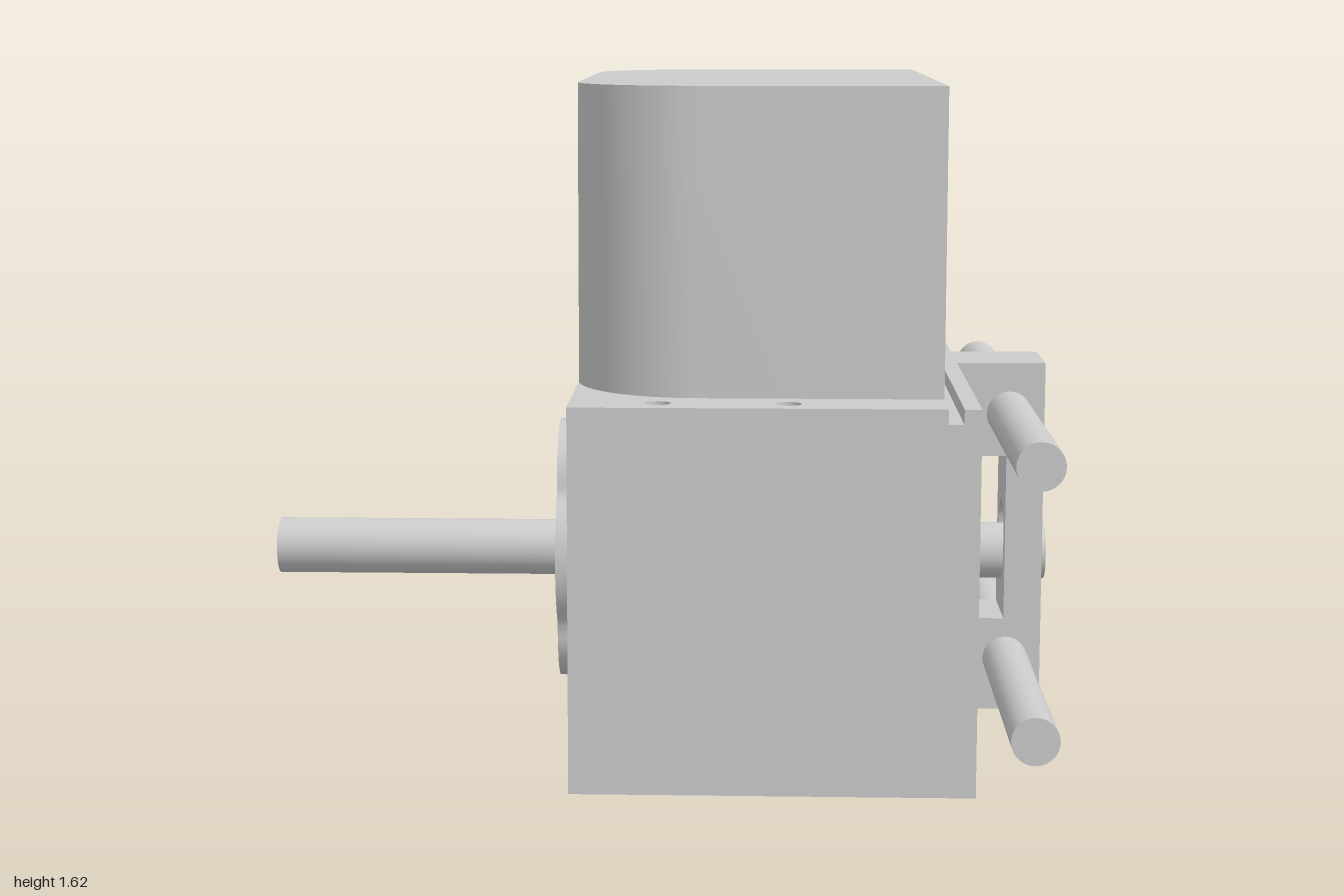
import * as THREE from 'three';
import { toCreasedNormals } from 'three/addons/utils/BufferGeometryUtils.js';

const material = new THREE.MeshStandardMaterial({ color: 0xcccccc });
const SHAFT_Y = 0.397, BORE_Y = 0.455, HALF = 0.905;

// Rectangle outline between two corners.
function rect(u0, v0, u1, v1) {
  return new THREE.Shape([[u0, v0], [u1, v0], [u1, v1], [u0, v1]].map(p => new THREE.Vector2(...p)));
}

// Closed outline around (u, v) whose radius is a function of the angle.
function polar(u, v, radiusAt, n = 36) {
  const points = [];
  for (let i = 0; i < n; i++) {
    const a = (i / n) * Math.PI * 2, r = radiusAt(a);
    points.push(new THREE.Vector2(u + r * Math.cos(a), v + r * Math.sin(a)));
  }
  return new THREE.Shape(points);
}
const circle = (u, v, r, n) => polar(u, v, () => r, n);

function extrude(shape, depth, holes = []) {
  shape.holes.push(...holes);
  return new THREE.ExtrudeGeometry(shape, { depth, bevelEnabled: false, curveSegments: 10 });
}

// Outline in (-z, y), extruded along x.
function alongX(shape, x0, x1, holes) {
  return extrude(shape, x1 - x0, holes).rotateY(Math.PI / 2).translate(x0, 0, 0);
}

// Outline in (x, -z), extruded along y.
function alongY(shape, y0, y1, holes) {
  return extrude(shape, y1 - y0, holes).rotateX(-Math.PI / 2).translate(0, y0, 0);
}

export function createModel() {
  const model = new THREE.Group();
  const add = (name, geometry, parent = model) => {
    const mesh = new THREE.Mesh(toCreasedNormals(geometry, 0.5), material);
    mesh.name = name;
    parent.add(mesh);
    return mesh;
  };

  // Gearbox body, in slices so each face carries its own holes
  const body = new THREE.Group();
  body.name = 'body';
  model.add(body);

  // Shaft-side cavity: large round opening with two wedge tabs
  const cavity = polar(0, BORE_Y, a => (Math.abs(Math.sin(a)) < Math.sin(0.28) ? 0.17 : 0.37), 72);
  const sideHoles = [];
  for (const z of [0.37, 0.69]) for (const y of [0.21, 0.68]) sideHoles.push(circle(-z, y, 0.032, 16));
  add('bodyShaftSide', alongX(rect(-HALF, 0, HALF, 0.84), -0.18, 0.12, [cavity, ...sideHoles]), body);
  add('bodyCore', alongX(rect(-HALF, 0, HALF, 0.84), 0.12, 0.685, [circle(0, BORE_Y, 0.17)]), body);

  // Top plate with screw holes
  const topHoles = [];
  for (const x of [0.025, 0.325]) for (const z of [-0.83, 0.83]) topHoles.push(circle(x, z, 0.03, 16));
  add('bodyTopPlate', alongY(rect(-0.18, -HALF, 0.685, HALF), 0.84, 0.905, topHoles), body);

  // Groove floor and outer lip on the rod side
  const faceHoles = () => [
    circle(0, BORE_Y, 0.17),
    ...[[-0.85, 0.06], [0.85, 0.06], [-0.85, 0.835], [0.85, 0.835], [0.185, 0.835]]
      .map(([u, y]) => circle(u, y, 0.031, 16)),
  ];
  add('bodyGroove', alongX(rect(-HALF, 0, HALF, 0.87), 0.685, 0.72, faceHoles()), body);
  add('bodyRodSide', alongX(rect(-HALF, 0, HALF, 0.905), 0.72, 0.76, faceHoles()), body);

  // Motor housing with two rounded corners
  const r = 0.29, x0 = -0.18, x1 = 0.685, w = 0.75;
  const outline = new THREE.Shape();
  outline.moveTo(x1, -w);
  outline.lineTo(x1, w);
  outline.lineTo(x0 + r, w);
  outline.absarc(x0 + r, w - r, r, Math.PI / 2, Math.PI, false);
  outline.lineTo(x0, -w + r);
  outline.absarc(x0 + r, -w + r, r, Math.PI, Math.PI * 1.5, false);
  add('motorHousing', alongY(outline, 0.905, 1.625));

  // Bearing flange: disc with an ear above and below
  const ear = 0.19, earR = 0.15;
  const flange = polar(0, SHAFT_Y, a => {
    const root = earR ** 2 - (ear * Math.cos(a)) ** 2;
    return root > 0 ? Math.max(0.225, ear * Math.abs(Math.sin(a)) + Math.sqrt(root)) : 0.225;
  }, 72);
  const flangeHoles = [circle(0, SHAFT_Y, 0.15)];
  for (const s of [-1, 1]) flangeHoles.push(circle(0, SHAFT_Y + s * 0.25, 0.035, 16));
  add('bearingFlange', alongX(flange, -0.26, -0.18, flangeHoles));

  // Drive shaft
  add('driveShaft', new THREE.CylinderGeometry(0.072, 0.072, 2, 32).rotateZ(Math.PI / 2)).position.set(0, SHAFT_Y, 0);

  // Bracket carrying the rods: two feet and a bored upright
  const bracket = new THREE.Group();
  bracket.name = 'rodBracket';
  model.add(bracket);
  add('bracketUpright', alongX(rect(-0.112, 0, 0.112, 0.905), 0.89, 0.985, [circle(0, BORE_Y, 0.077)]), bracket);
  for (const [name, y0, y1] of [['lowerFoot', 0, 0.24], ['upperFoot', 0.665, 0.905]]) {
    add(name, alongX(rect(-0.112, y0, 0.112, y1), 0.76, 0.89), bracket);
  }

  // Guide rods
  for (const [name, y] of [['lowerRod', 0.135], ['upperRod', 0.775]]) {
    add(name, new THREE.CylinderGeometry(0.057, 0.057, 2 * HALF, 28).rotateX(Math.PI / 2)).position.set(0.895, y, 0);
  }

  return model;
}
